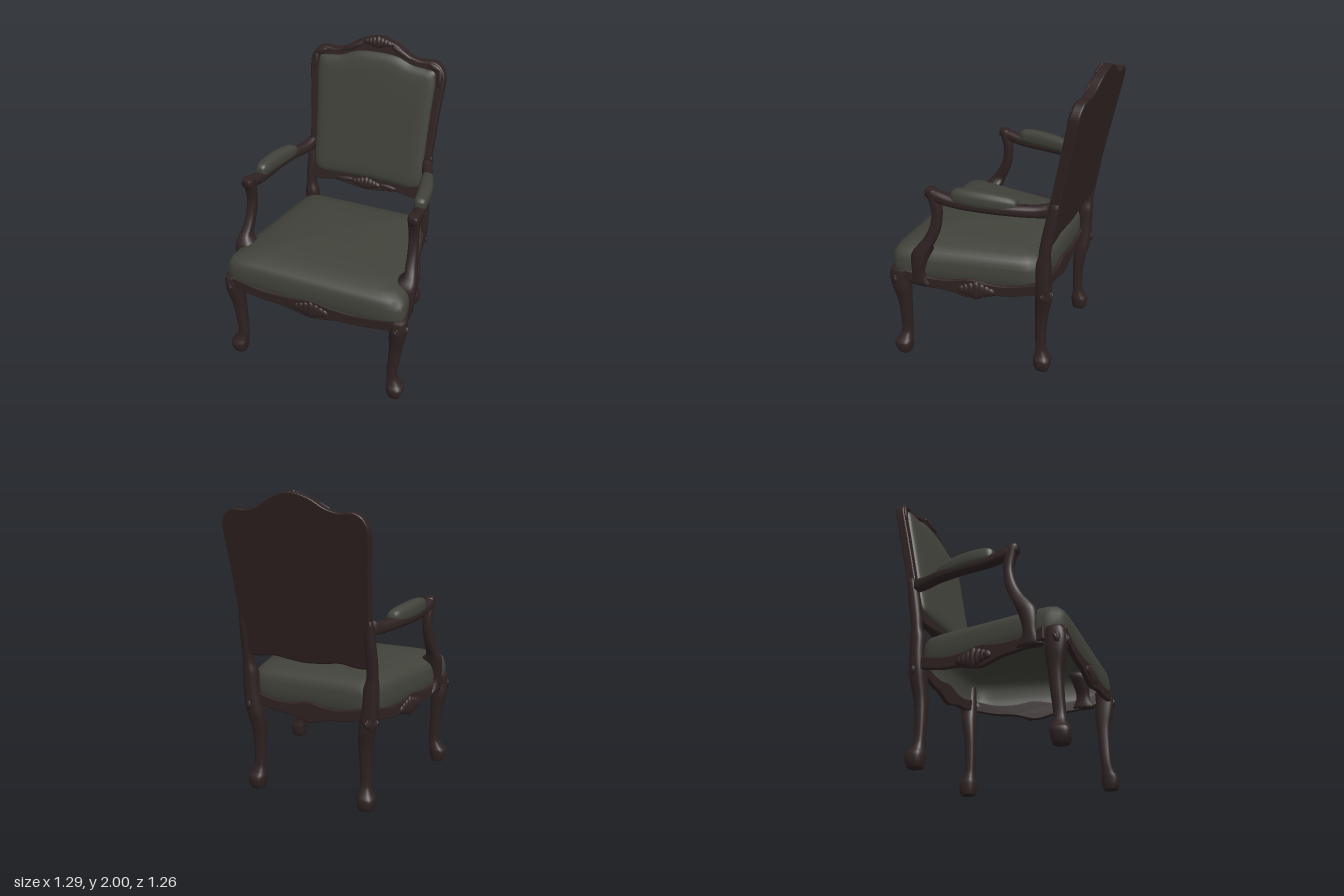
import * as THREE from 'three';
import { mergeGeometries } from 'three/addons/utils/BufferGeometryUtils.js';

const wood = new THREE.MeshStandardMaterial({ color: 0x2f2222 });
wood.name = 'darkWood';
// The seat cover is open underneath, so its inside shows
const fabric = new THREE.MeshStandardMaterial({ color: 0x41423a, side: THREE.DoubleSide });
fabric.name = 'greyGreenFabric';

// Skin a list of equal-length closed rings, capping the end and, unless open, the start
function loft(rings, openStart = false) {
  const n = rings[0].length, pos = [], idx = [];
  rings.forEach(r => r.forEach(p => pos.push(p.x, p.y, p.z)));
  for (let i = 0; i < rings.length - 1; i++) for (let j = 0; j < n; j++) {
    const a = i * n + j, b = i * n + (j + 1) % n;
    idx.push(a, a + n, b, b, a + n, b + n);
  }
  (openStart ? [rings.length - 1] : [0, rings.length - 1]).forEach(i => {
    const c = new THREE.Vector3();
    rings[i].forEach(p => c.addScaledVector(p, 1 / n));
    const k = pos.length / 3;
    pos.push(c.x, c.y, c.z);
    for (let j = 0; j < n; j++) {
      const a = i * n + j, b = i * n + (j + 1) % n;
      idx.push(k, i ? b : a, i ? a : b);
    }
  });
  const g = new THREE.BufferGeometry();
  g.setAttribute('position', new THREE.Float32BufferAttribute(pos, 3));
  g.setIndex(idx);
  g.computeVertexNormals();
  return g;
}

// Unit rounded-square outline; a higher power gives squarer corners
function squircle(count, power) {
  return Array.from({ length: count }, (_, i) => {
    const t = i / count * Math.PI * 2, c = Math.cos(t), s = Math.sin(t);
    const r = (Math.abs(c) ** power + Math.abs(s) ** power) ** (-1 / power);
    return [c * r, s * r];
  });
}

// Smooth limb through stations [x, y, z, radiusA, radiusB]
function limb(stations, upright) {
  const centre = new THREE.CatmullRomCurve3(stations.map(s => new THREE.Vector3(s[0], s[1], s[2])));
  const size = new THREE.CatmullRomCurve3(stations.map((s, i) => new THREE.Vector3(s[3], s[4], i * 0.05)));
  const steps = (stations.length - 1) * 4, rings = [];
  for (let i = 0; i <= steps; i++) {
    const p = centre.getPoint(i / steps), r = size.getPoint(i / steps);
    rings.push(squircle(20, 3.2).map(([u, v]) => upright
      ? new THREE.Vector3(p.x + u * r.x, p.y, p.z + v * r.y)
      : new THREE.Vector3(p.x + u * r.x, p.y + v * r.y, p.z)));
  }
  return loft(rings);
}

// Fluted carved shell, a row of narrow lobes facing +z
function shell(w, h, d) {
  const lobes = [];
  for (let i = -3; i <= 3; i++) {
    const k = 1 - 0.19 * Math.abs(i);
    lobes.push(new THREE.SphereGeometry(1, 12, 8)
      .scale(w / 8, h / 2 * k, d * (0.6 + 0.4 * k)).rotateZ(-i * 0.12).translate(i * w / 8, 0, 0));
  }
  return mergeGeometries(lobes);
}

// Seat rail with scalloped edges, outer face on local z = 0
function rail(half) {
  const edge = pts => new THREE.CatmullRomCurve3(pts.map(([x, y]) => new THREE.Vector3(x * half, y, 0)))
    .getPoints(32).map(p => new THREE.Vector2(p.x, p.y));
  const low = edge([[-1, 0.6], [-0.62, 0.565], [-0.35, 0.555], [0, 0.52], [0.35, 0.555], [0.62, 0.565], [1, 0.6]]);
  const high = edge([[1, 0.68], [0.6, 0.64], [0.3, 0.64], [0, 0.66], [-0.3, 0.64], [-0.6, 0.64], [-1, 0.68]]);
  return new THREE.ExtrudeGeometry(new THREE.Shape([...low, ...high]), {
    depth: 0.015, bevelThickness: 0.008, bevelSize: 0.008, bevelOffset: -0.008, bevelSegments: 2,
  }).translate(0, 0, -0.023);
}

// Closed symmetric outline from its right half, bottom centre to top centre
function symmetric(half) {
  const left = half.slice(1, -1).reverse().map(([x, y]) => [-x, y]);
  return new THREE.CatmullRomCurve3([...half, ...left].map(([x, y]) => new THREE.Vector3(x, y, 0)), true)
    .getPoints(120).slice(0, -1);
}

function mirrored(geo) {
  const g = geo.clone().applyMatrix4(new THREE.Matrix4().makeScale(-1, 1, 1));
  const a = g.index.array, flip = [];
  for (let i = 0; i < a.length; i += 3) flip.push(a[i], a[i + 2], a[i + 1]);
  g.setIndex(flip);
  return g;
}

export function createModel() {
  const chair = new THREE.Group();
  chair.name = 'armchair';
  const add = (name, geo, mat) => {
    const m = new THREE.Mesh(geo, mat);
    m.name = name;
    chair.add(m);
  };
  const pair = (name, geo, mat) => {
    add(name + 'Left', geo, mat);
    add(name + 'Right', mirrored(geo), mat);
  };

  // Domed seat cover, wider at the front and hollow below
  const seatRings = [[0.985, 0.635], [1, 0.665], [1.005, 0.7], [1, 0.75], [0.985, 0.785], [0.95, 0.81],
    [0.85, 0.838], [0.7, 0.858], [0.45, 0.875], [0.2, 0.884]];
  add('seatCushion', loft(seatRings.map(([s, y]) => squircle(96, 13).map(([u, v]) =>
    new THREE.Vector3(u * s * (0.536 + 0.096 * v * s), y, 0.12 + 0.488 * v * s))), true), fabric);

  // Seat rails and their carved shells
  const sideTurn = Math.PI / 2 + 0.19;
  add('frontRail', rail(0.56).translate(0, 0, 0.608), wood);
  add('frontRailShell', shell(0.25, 0.135, 0.02).translate(0, 0.59, 0.605), wood);
  add('rearRail', rail(0.4).rotateY(Math.PI).translate(0, 0, -0.385), wood);
  const sideRail = rail(0.43).rotateY(sideTurn).translate(0.536, 0, 0.07);
  add('sideRailLeft', sideRail, wood);
  add('sideRailRight', rail(0.43).rotateY(-sideTurn).translate(-0.536, 0, 0.07), wood);
  pair('sideRailShell', shell(0.25, 0.135, 0.02).rotateY(sideTurn).translate(0.53, 0.585, 0.03), wood);

  // Curved front legs
  pair('frontLeg', limb([
    [0.575, 0, 0.558, 0.04, 0.042], [0.577, 0.035, 0.561, 0.051, 0.054], [0.576, 0.08, 0.56, 0.055, 0.057],
    [0.562, 0.112, 0.554, 0.044, 0.044], [0.546, 0.16, 0.55, 0.033, 0.034], [0.553, 0.3, 0.542, 0.036, 0.037],
    [0.562, 0.42, 0.54, 0.042, 0.043], [0.572, 0.52, 0.547, 0.052, 0.058], [0.576, 0.6, 0.556, 0.052, 0.06],
    [0.574, 0.67, 0.55, 0.05, 0.055]], true), wood);
  pair('frontKneeCarving', shell(0.1, 0.13, 0.02).rotateY(Math.PI / 4).translate(0.602, 0.59, 0.588), wood);

  // Back legs running up into the back posts
  pair('backLegAndPost', limb([
    [0.395, 0, -0.38, 0.042, 0.044], [0.397, 0.035, -0.382, 0.052, 0.054], [0.396, 0.08, -0.38, 0.055, 0.056],
    [0.39, 0.112, -0.373, 0.044, 0.043], [0.386, 0.16, -0.365, 0.034, 0.032], [0.384, 0.3, -0.362, 0.037, 0.034],
    [0.384, 0.42, -0.368, 0.043, 0.04], [0.395, 0.52, -0.38, 0.052, 0.048], [0.41, 0.6, -0.385, 0.052, 0.05],
    [0.422, 0.72, -0.388, 0.048, 0.046], [0.425, 0.82, -0.388, 0.045, 0.045], [0.433, 0.88, -0.395, 0.034, 0.036],
    [0.435, 0.96, -0.404, 0.032, 0.036], [0.43, 1.12, -0.432, 0.03, 0.036], [0.432, 1.25, -0.457, 0.02, 0.025]],
  true), wood);
  pair('backKneeCarving', shell(0.09, 0.12, 0.018).rotateY(Math.PI * 0.75).translate(0.438, 0.59, -0.415), wood);

  // Arm supports, arms and arm pads
  pair('armSupport', limb([
    [0.578, 0.58, 0.4, 0.03, 0.08], [0.58, 0.66, 0.405, 0.038, 0.045], [0.568, 0.74, 0.4, 0.058, 0.052],
    [0.557, 0.81, 0.385, 0.07, 0.06], [0.575, 0.865, 0.355, 0.041, 0.049], [0.568, 0.92, 0.32, 0.034, 0.042],
    [0.562, 1.0, 0.285, 0.031, 0.036], [0.557, 1.1, 0.267, 0.031, 0.031], [0.557, 1.18, 0.275, 0.035, 0.035],
    [0.558, 1.25, 0.295, 0.037, 0.038], [0.558, 1.27, 0.297, 0.032, 0.032]], true), wood);
  pair('arm', limb([
    [0.56, 1.24, 0.33, 0.03, 0.026], [0.558, 1.225, 0.26, 0.036, 0.037], [0.547, 1.2, 0.14, 0.036, 0.034],
    [0.53, 1.193, -0.04, 0.036, 0.032], [0.495, 1.193, -0.22, 0.038, 0.035], [0.45, 1.19, -0.35, 0.037, 0.038],
    [0.428, 1.2, -0.42, 0.034, 0.046]], false), wood);
  pair('armPad', limb([
    [0.546, 1.243, 0.165, 0.024, 0.03], [0.545, 1.245, 0.135, 0.039, 0.046], [0.538, 1.243, 0.03, 0.045, 0.053],
    [0.517, 1.237, -0.1, 0.045, 0.051], [0.494, 1.23, -0.2, 0.04, 0.042], [0.486, 1.226, -0.235, 0.028, 0.026]],
  false), fabric);

  // Backrest parts are drawn upright, then leaned backwards
  const lean = new THREE.Matrix4().set(1, 0, 0, 0, 0, 1, 0, 0, 0, -0.19, 1, -0.43 + 0.19 * 0.95, 0, 0, 0, 1);
  const frame = symmetric([[0, 0.93], [0.12, 0.94], [0.24, 0.955], [0.33, 0.94], [0.41, 0.945], [0.437, 1],
    [0.446, 1.25], [0.46, 1.55], [0.474, 1.75], [0.468, 1.81], [0.435, 1.86], [0.385, 1.883], [0.3, 1.878],
    [0.22, 1.9], [0.12, 1.958], [0, 1.988]]);
  add('backFrame', new THREE.ExtrudeGeometry(new THREE.Shape(frame.map(p => new THREE.Vector2(p.x, p.y))), {
    depth: 0.042, bevelThickness: 0.01, bevelSize: 0.01, bevelOffset: -0.01, bevelSegments: 3,
  }).translate(0, 0, 0.01).applyMatrix4(lean), wood);

  const pad = symmetric([[0, 1.02], [0.2, 1.012], [0.33, 1.008], [0.385, 1.03], [0.403, 1.1], [0.406, 1.3],
    [0.412, 1.55], [0.418, 1.77], [0.405, 1.825], [0.34, 1.838], [0.25, 1.85], [0.14, 1.89], [0, 1.9]]);
  const padRings = [[0.35, 0.092], [0.75, 0.092], [0.88, 0.089], [0.95, 0.08], [0.985, 0.068], [1, 0.05]];
  add('backCushion', loft(padRings.map(([s, z]) => pad.map(p =>
    new THREE.Vector3(p.x * s, 1.45 + (p.y - 1.45) * s, z)))).applyMatrix4(lean), fabric);

  // Carved ornaments on the back frame
  add('crestShell', shell(0.2, 0.08, 0.016).translate(0, 1.958, 0.062).applyMatrix4(lean), wood);
  add('lowerBackShell', shell(0.22, 0.09, 0.02).translate(0, 0.98, 0.062).applyMatrix4(lean), wood);
  const leaf = (x, y, turn, len) => new THREE.SphereGeometry(1, 12, 8).scale(len, 0.018, 0.01)
    .rotateZ(turn).translate(x, y, 0.062).applyMatrix4(lean);
  pair('frameLeaves', mergeGeometries([leaf(0.17, 1.91, -0.45, 0.08), leaf(0.4, 1.85, -0.4, 0.05),
    leaf(0.438, 1.79, 1.6, 0.06), leaf(0.16, 0.98, -0.1, 0.07)]), wood);

  return chair;
}
